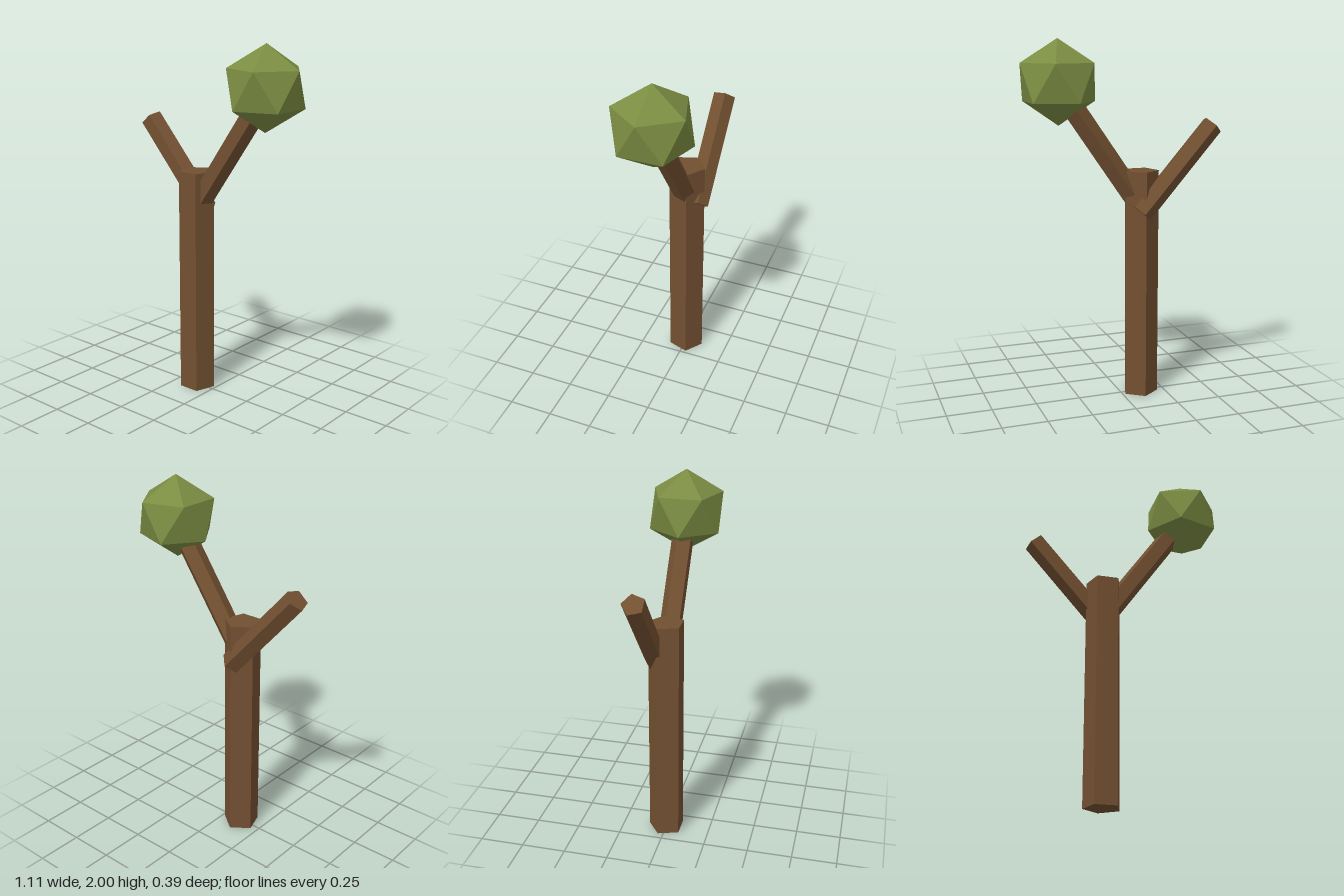
import * as THREE from 'three';

export function createModel() {
  const model = new THREE.Group();
  model.name = 'tree';

  const bark = new THREE.MeshStandardMaterial({ color: 0x725031 });
  bark.name = 'bark brown';
  bark.flatShading = true;
  const leaf = new THREE.MeshStandardMaterial({ color: 0x7b8c42 });
  leaf.name = 'leaf green';
  leaf.flatShading = true;

  // Five-sided beam between two points in the xy plane, ridge towards the back
  function beam(name, radius, from, to, z) {
    const dx = to[0] - from[0];
    const dy = to[1] - from[1];
    const geometry = new THREE.CylinderGeometry(radius, radius, Math.hypot(dx, dy), 5);
    geometry.rotateY(Math.PI);
    const mesh = new THREE.Mesh(geometry, bark);
    mesh.name = name;
    mesh.position.set((from[0] + to[0]) / 2, (from[1] + to[1]) / 2, z);
    mesh.rotation.z = -Math.atan2(dx, dy);
    model.add(mesh);
  }

  beam('trunk', 0.102, [-0.113, 0], [-0.113, 1.285], 0);
  beam('leftBranch', 0.063, [-0.09, 1.112], [0.3, 1.677], 0);
  beam('rightBranch', 0.063, [-0.096, 1.057], [-0.511, 1.53], -0.066);

  // Leaf ball, turned so one corner points straight up
  const ball = new THREE.IcosahedronGeometry(0.2275, 0);
  ball.rotateZ(-Math.atan(2 / (1 + Math.sqrt(5))));
  const foliage = new THREE.Mesh(ball, leaf);
  foliage.name = 'foliage';
  foliage.position.set(0.351, 1.7725, 0);
  model.add(foliage);

  return model;
}
